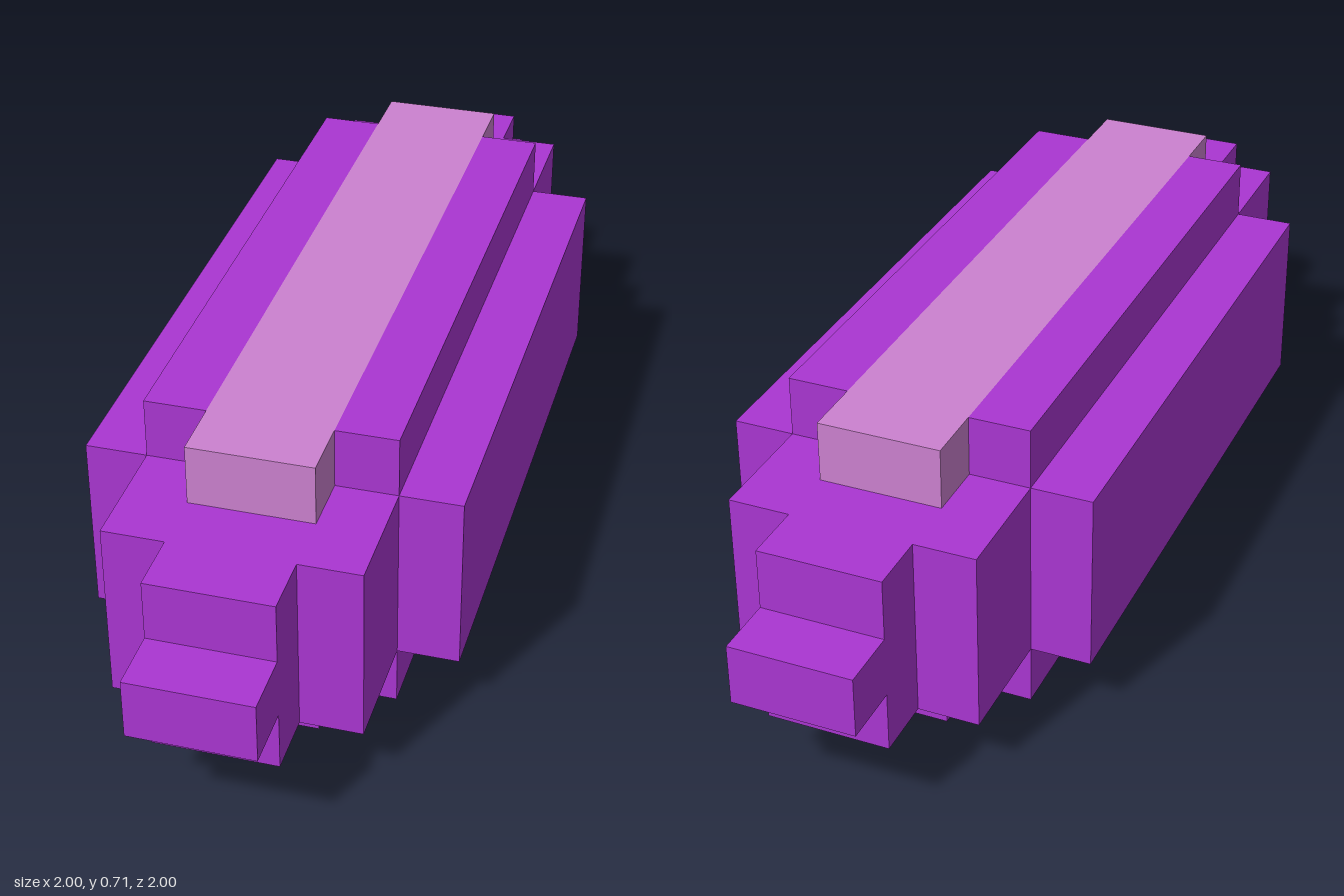
import * as THREE from 'three';

const U = 0.1 * Math.SQRT2; // one block

export function createModel() {
  const purple = new THREE.MeshStandardMaterial({ color: 0xaa36d2 });
  purple.name = 'purple';
  const pink = new THREE.MeshStandardMaterial({ color: 0xcc81d0 });
  pink.name = 'pink';

  const model = new THREE.Group();
  model.name = 'crystal';
  const body = new THREE.Group();
  body.name = 'crystalBody';
  body.rotation.y = Math.PI / 4; // lies along the diagonal
  model.add(body);

  const add = (name, geometry, material) => {
    const mesh = new THREE.Mesh(geometry, material);
    mesh.name = name;
    body.add(mesh);
  };

  // Box given by block ranges along the length, height and width
  const block = (name, x0, x1, y0, y1, z0, z1, material) => {
    const g = new THREE.BoxGeometry((x1 - x0) * U, (y1 - y0) * U, (z1 - z0) * U);
    g.translate((x0 + x1) * U / 2, (y0 + y1) * U / 2, (z0 + z1) * U / 2);
    add(name, g, material);
  };

  // Stepped slab: steps are [half length, half width], longest first
  const slab = (name, steps, y0, y1) => {
    const quarter = [];
    let inner = 0;
    for (const [a, b] of steps) {
      if (inner) quarter.push([a, inner]);
      quarter.push([a, b]);
      inner = b;
    }
    const back = [...quarter].reverse();
    const outline = [
      ...quarter,
      ...back.map(([a, b]) => [-a, b]),
      ...quarter.map(([a, b]) => [-a, -b]),
      ...back.map(([a, b]) => [a, -b]),
    ];
    const shape = new THREE.Shape(outline.map(([a, b]) => new THREE.Vector2(a * U, b * U)));
    const g = new THREE.ExtrudeGeometry(shape, { depth: (y1 - y0) * U, bevelEnabled: false });
    g.rotateX(-Math.PI / 2);
    g.translate(0, y0 * U, 0);
    add(name, g, purple);
  };

  slab('base', [[6, 1], [5, 2]], 0, 1);
  slab('core', [[8, 1], [7, 2], [5, 3]], 1, 4);

  // Highlighted ridge with a rail along each side
  block('ridge', -6, 6, 4, 5, -1, 1, pink);
  block('backRail', -5, 5, 4, 5, -2, -1, purple);
  block('frontRail', -5, 5, 4, 5, 1, 2, purple);

  // Small tips at both ends
  block('leftTip', 8, 9, 2, 3, -1, 1, purple);
  block('rightTip', -9, -8, 2, 3, -1, 1, purple);

  return model;
}
